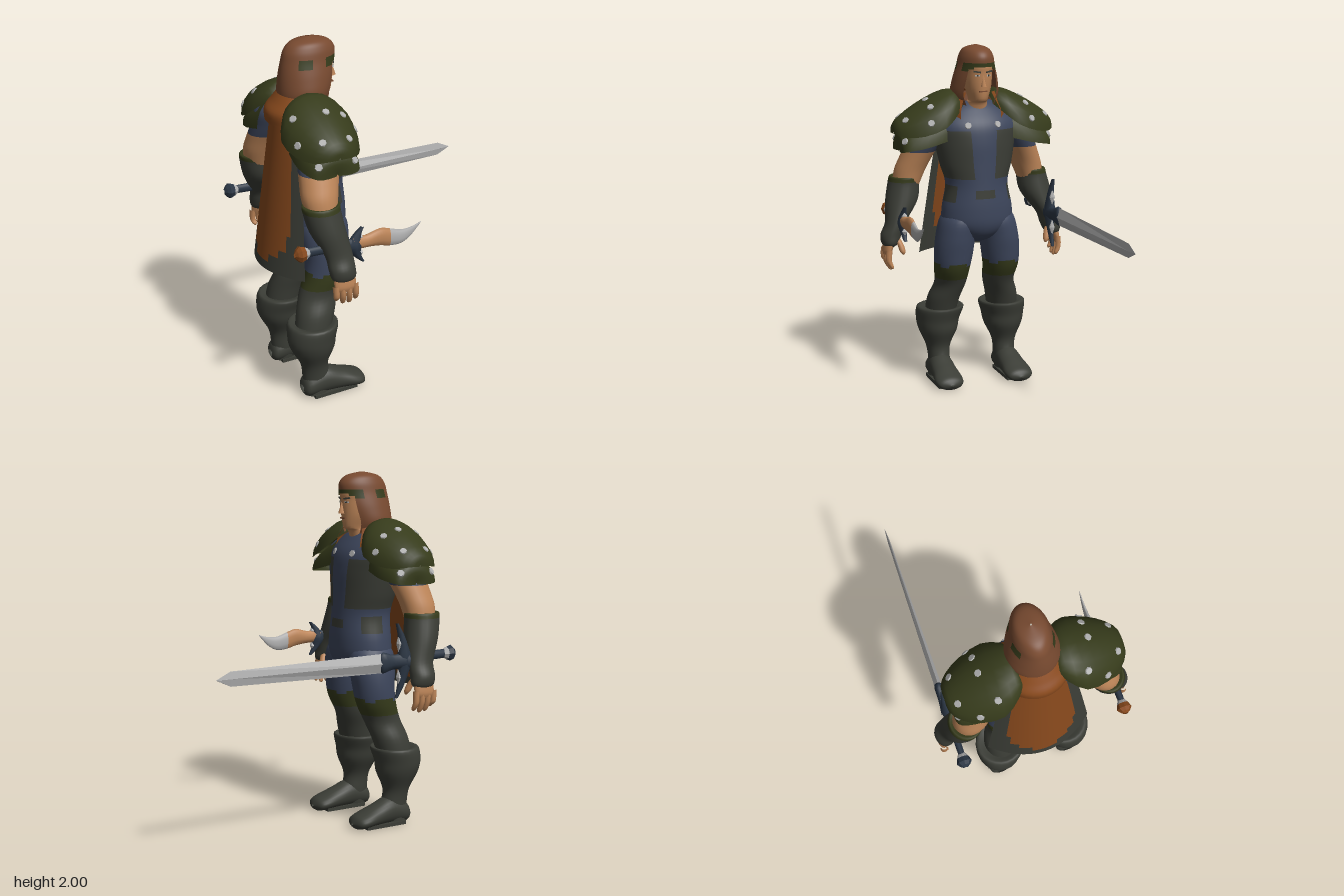
import * as THREE from 'three';

const mat = (name, color, side = THREE.FrontSide) => {
  const m = new THREE.MeshStandardMaterial({ color, side });
  m.name = name;
  return m;
};

export function createModel() {
  const D = THREE.DoubleSide;
  const hoodBrown = mat('hood brown', 0x784a30, D), capeBrown = mat('cape brown', 0x86481c, D);
  const skin = mat('skin', 0xbd8558), blue = mat('blue cloth', 0x3d465c);
  const green = mat('green leather', 0x363b1b, D), dark = mat('dark leather', 0x3b3d36, D);
  const silver = mat('silver', 0xb2b2b2), steel = mat('dark steel', 0x2b3644);
  const root = new THREE.Group();
  root.name = 'hoodedWarrior';

  // Surface from a grid of points; pick(u, v) chooses a material per face, or -1 for a hole
  function grid(name, nu, nv, point, mats, pick = () => 0, wrap = false, flat = false) {
    const cols = wrap ? nu : nu + 1, pos = [];
    for (let i = 0; i <= nv; i++) for (let j = 0; j < cols; j++) pos.push(...point(j / nu, i / nv));
    const faces = mats.map(() => []);
    for (let i = 0; i < nv; i++) for (let j = 0; j < nu; j++) {
      const k = pick((j + 0.5) / nu, (i + 0.5) / nv);
      if (k < 0) continue;
      const j2 = (j + 1) % cols, a = i * cols + j, b = i * cols + j2, c = a + cols, d = b + cols;
      faces[k].push(a, c, b, b, c, d);
    }
    let g = new THREE.BufferGeometry();
    g.setAttribute('position', new THREE.Float32BufferAttribute(pos, 3));
    g.setIndex(faces.flat());
    if (flat) g = g.toNonIndexed();
    g.computeVertexNormals();
    let start = 0;
    faces.forEach((f, k) => { if (f.length) g.addGroup(start, f.length, k); start += f.length; });
    const mesh = new THREE.Mesh(g, mats);
    mesh.name = name;
    root.add(mesh);
    return mesh;
  }

  // Smooth value between rows of numbers
  function sample(rows, v) {
    const t = v * (rows.length - 1), i = Math.min(Math.floor(t), rows.length - 2), f = t - i;
    const at = (n) => rows[Math.max(0, Math.min(rows.length - 1, n))];
    return rows[0].map((_, k) => {
      const p = at(i - 1)[k], q = at(i)[k], r = at(i + 1)[k], s = at(i + 2)[k];
      return q + 0.5 * f * (r - p + f * (2 * p - 5 * q + 4 * r - s + f * (3 * (q - r) + s - p)));
    });
  }

  // Elliptical rings, bottom to top: [y, cx, cz, rx, rz, tilt]; pick gets height and angle (0 = front)
  function loft(name, rows, mats, pick, { seg = 24, steps = 5, flat = false } = {}) {
    mats = [mats].flat();
    return grid(name, seg, (rows.length - 1) * steps, (u, v) => {
      const [y, cx, cz, rx, rz, tilt = 0] = sample(rows, v), a = u * Math.PI * 2;
      return [cx + Math.max(rx, 0.001) * Math.cos(a), y - tilt * Math.cos(a), cz + Math.max(rz, 0.001) * Math.sin(a)];
    }, mats, pick && ((u, v) => pick(sample(rows, v)[0], Math.PI * (u > 0.5 ? 2 - 2 * u : 2 * u))), true, flat);
  }

  // Same, running forward along x: [x, y, z, ry, rz]
  function loftX(name, rows, mats, pick, opt) {
    const m = loft(name, rows.map(([x, y, z, ry, rz]) => [x, -y, z, ry, rz]), mats, pick, opt);
    m.rotation.z = -Math.PI / 2;
    return m;
  }

  function add(name, geo, m, x, y, z) {
    const mesh = new THREE.Mesh(geo, m);
    mesh.name = name;
    mesh.position.set(x, y, z);
    root.add(mesh);
    return mesh;
  }
  function stud(p, normal) {
    const m = add('stud', new THREE.CylinderGeometry(0.018, 0.022, 0.009, 7), silver, p.x, p.y, p.z);
    m.quaternion.setFromUnitVectors(new THREE.Vector3(0, 1, 0), normal);
  }

  // Torso
  loft('torso', [[0.85, -0.42, 0, 0.03, 0.03], [0.89, -0.42, 0, 0.12, 0.12], [0.96, -0.415, 0, 0.16, 0.205],
    [1.06, -0.41, 0, 0.163, 0.21], [1.2, -0.415, 0, 0.16, 0.185], [1.32, -0.43, 0, 0.17, 0.215],
    [1.45, -0.445, 0, 0.18, 0.24], [1.55, -0.45, 0, 0.165, 0.25], [1.63, -0.46, 0, 0.12, 0.19],
    [1.68, -0.46, 0, 0.07, 0.09]], [blue, dark], (y, a) =>
    (y > 1.24 && y < 1.52 && a > 0.32 && a < 2.3) || (y > 1.13 && y < 1.17 && a < 0.35) ||
    (y > 1.1 && y < 1.19 && a > 0.9 && a < 1.7) ? 1 : 0, { seg: 40, steps: 6 });

  // Head and face
  loft('head', [[1.6, -0.43, 0, 0.075, 0.075], [1.67, -0.41, 0, 0.075, 0.06], [1.69, -0.385, 0, 0.083, 0.052],
    [1.76, -0.385, 0, 0.095, 0.073], [1.84, -0.385, 0, 0.1, 0.08], [1.9, -0.39, 0, 0.1, 0.078],
    [1.95, -0.4, 0, 0.02, 0.02]], skin);
  const nose = add('nose', new THREE.ConeGeometry(0.018, 0.065, 6), skin, -0.284, 1.802, 0);
  nose.scale.x = 1.2;
  add('mouth', new THREE.BoxGeometry(0.008, 0.007, 0.05), hoodBrown, -0.291, 1.742, 0);
  for (const s of [-1, 1]) {
    const brow = add('brow', new THREE.BoxGeometry(0.009, 0.009, 0.042), dark, -0.294, 1.853, s * 0.035);
    brow.rotation.set(-s * 0.15, -s * 0.35, 0);
    add('eye', new THREE.BoxGeometry(0.008, 0.01, 0.026), silver, -0.296, 1.832, s * 0.033).rotation.y = -s * 0.35;
    add('pupil', new THREE.BoxGeometry(0.009, 0.01, 0.01), dark, -0.294, 1.832, s * 0.032).rotation.y = -s * 0.35;
  }

  // Hood, open at the face, with a green band, and cowl round the neck
  loft('hood', [[1.66, -0.45, 0, 0.14, 0.115], [1.72, -0.45, 0, 0.142, 0.14], [1.8, -0.435, 0, 0.15, 0.128],
    [1.88, -0.423, 0, 0.148, 0.106], [1.94, -0.415, 0, 0.138, 0.092], [1.98, -0.415, 0, 0.095, 0.066],
    [2, -0.415, 0, 0.005, 0.005]], [hoodBrown, green], (y, a) =>
    y < 1.885 && a < (y > 1.865 ? 0.55 : 0.72) ? -1 : y > 1.85 && y < 1.905 && (a < 1.2 || a > 1.7 && a < 2.2) ? 1 : 0,
    { seg: 48, steps: 6 });
  loft('cowl', [[1.57, -0.47, 0, 0.19, 0.19], [1.63, -0.475, 0, 0.185, 0.185], [1.68, -0.47, 0, 0.15, 0.155],
    [1.73, -0.46, 0, 0.12, 0.12]], capeBrown, (y, a) => (a < 0.65 ? -1 : 0), { seg: 36 });

  // Cape with a dark hem
  grid('cape', 24, 20, (u, v) => {
    const s = u * 2 - 1, w = 0.15 + 0.145 * Math.pow(v, 0.8);
    return [-0.61 - 0.125 * v + (0.06 + 0.065 * v) * s * s, 1.67 - 0.91 * v, s * w];
  }, [capeBrown, dark], (u, v) => {
    const s = Math.abs(u * 2 - 1), d = Math.max(0, v - 0.7) / 0.24;
    return (s / 0.74) ** 2 + d * d < 1 ? 0 : 1;
  });

  // Arched shoulder plate point: stations [z, half width, top, base]
  const upper = [[0.09, 0.1, 1.7, 1.66], [0.13, 0.15, 1.745, 1.62], [0.22, 0.2, 1.725, 1.545], [0.34, 0.18, 1.665, 1.5],
    [0.43, 0.13, 1.605, 1.49], [0.475, 0.07, 1.56, 1.5], [0.478, 0.005, 1.51, 1.5]];
  const lower = [[0.2, 0.15, 1.64, 1.46], [0.32, 0.16, 1.58, 1.43], [0.43, 0.135, 1.52, 1.41],
    [0.455, 0.08, 1.47, 1.4], [0.445, 0.005, 1.41, 1.4]];
  const arch = (rows, s) => (u, v) => {
    const [z, w, top, base] = sample(rows, v), t = u * Math.PI;
    return [-0.485 + w * Math.cos(t), base + (top - base) * Math.sin(t), s * z];
  };

  for (const s of [-1, 1]) {
    // Shoulder armour and its studs
    for (const [name, rows, spots] of [
      ['upperShoulderPlate', upper, [[0.3, 0.43], [0.47, 0.43], [0.75, 0.36], [0.12, 0.45], [0.88, 0.5], [0.3, 0.66], [0.68, 0.66]]],
      ['lowerShoulderPlate', lower, [[0.2, 0.55], [0.8, 0.55]]]]) {
      const f = arch(rows, s), P = (u, v) => new THREE.Vector3(...f(u, v));
      grid(name, 12, 12, f, [green]);
      for (const [u, v] of spots) {
        const p = P(u, v), n = P(u + 0.01, v).sub(p).cross(P(u, v + 0.01).sub(p)).normalize();
        if (n.y < 0) n.negate();
        stud(p, n);
      }
    }
    stud(new THREE.Vector3(-0.296, 1.55, s * 0.09), new THREE.Vector3(0.92, 0.3, s * 0.25).normalize());

    // Arm: sleeve, bicep, bracer
    loft('upperArm', [[1.17, -0.55, s * 0.395, 0.08, 0.075], [1.27, -0.55, s * 0.367, 0.097, 0.09],
      [1.35, -0.535, s * 0.333, 0.105, 0.094], [1.45, -0.51, s * 0.285, 0.115, 0.1],
      [1.55, -0.49, s * 0.25, 0.12, 0.1], [1.64, -0.48, s * 0.22, 0.03, 0.03]], [skin, blue], (y) => (y > 1.39 ? 1 : 0));
    loft('bracer', [[0.835, -0.49, s * 0.515, 0.03, 0.015], [0.86, -0.49, s * 0.51, 0.066, 0.045],
      [0.91, -0.495, s * 0.5, 0.072, 0.06], [0.98, -0.5, s * 0.472, 0.075, 0.058], [1.1, -0.535, s * 0.422, 0.095, 0.094],
      [1.2, -0.555, s * 0.402, 0.1, 0.092], [1.24, -0.557, s * 0.395, 0.1, 0.088], [1.235, -0.555, s * 0.395, 0.07, 0.07]],
    [dark, green], (y) => (y > 1.215 ? 1 : 0));

    // Hand: palm, fingers and thumb
    loft('palm', [[0.79, -0.49, s * 0.53, 0.045, 0.014], [0.82, -0.49, s * 0.527, 0.062, 0.025],
      [0.88, -0.49, s * 0.51, 0.06, 0.035]], skin, undefined, { seg: 14 });
    for (let i = 0; i < 4; i++) {
      const x = -0.546 + i * 0.037, tip = [0.735, 0.712, 0.708, 0.72][i];
      loft('finger', [[tip, x + 0.008, s * 0.513, 0.004, 0.004], [tip + 0.012, x + 0.007, s * 0.517, 0.014, 0.013],
        [0.77, x + 0.002, s * 0.532, 0.017, 0.017], [0.83, x, s * 0.528, 0.018, 0.02]], skin, undefined, { seg: 8, steps: 3 });
    }
    loft('thumb', [[0.8, -0.425, s * 0.446, 0.005, 0.005], [0.82, -0.43, s * 0.45, 0.018, 0.017],
      [0.86, -0.445, s * 0.46, 0.02, 0.018], [0.9, -0.465, s * 0.48, 0.02, 0.02]], skin, undefined, { seg: 10, steps: 3 });

    // Leg
    loft('leg', [[0.38, -0.53, s * 0.2, 0.1, 0.09], [0.5, -0.5, s * 0.183, 0.108, 0.095], [0.6, -0.465, s * 0.152, 0.11, 0.092],
      [0.7, -0.425, s * 0.152, 0.117, 0.105], [0.8, -0.41, s * 0.145, 0.122, 0.115], [0.9, -0.41, s * 0.133, 0.135, 0.115],
      [1, -0.41, s * 0.11, 0.13, 0.11], [1.07, -0.41, s * 0.1, 0.06, 0.06]],
    [blue, green, dark], (y, a) => (y > 0.73 + 0.02 * Math.cos(a * 4) ? 0 : y > 0.63 ? 1 : 2));

    // Boot shaft and foot
    loft('bootShaft', [[0.01, -0.52, s * 0.215, 0.07, 0.06], [0.1, -0.515, s * 0.208, 0.08, 0.063],
      [0.2, -0.528, s * 0.21, 0.078, 0.072, 0.005], [0.3, -0.535, s * 0.208, 0.122, 0.115, 0.01],
      [0.37, -0.538, s * 0.207, 0.135, 0.13, 0.02], [0.445, -0.523, s * 0.195, 0.138, 0.14, 0.027],
      [0.44, -0.52, s * 0.193, 0.1, 0.09, 0.02]], dark);
    loftX('foot', [[-0.605, 0.05, s * 0.213, 0.02, 0.03], [-0.58, 0.062, s * 0.213, 0.06, 0.062],
      [-0.48, 0.082, s * 0.213, 0.08, 0.07], [-0.38, 0.064, s * 0.215, 0.062, 0.076],
      [-0.3, 0.047, s * 0.218, 0.046, 0.084], [-0.25, 0.036, s * 0.218, 0.034, 0.068],
      [-0.228, 0.032, s * 0.218, 0.005, 0.01]], dark);
    add('sole', new THREE.BoxGeometry(0.26, 0.02, 0.13), dark, -0.425, 0.01, s * 0.215);
  }

  // Grip, pommel and cross guard shared by both weapons
  function hilt(z, y, pommelMat, half) {
    loftX('grip', [[-0.67, y, z, 0.025, 0.018], [-0.4, y - 0.01, z, 0.028, 0.02]], steel, undefined, { seg: 10, steps: 1 });
    loftX('pommel', [[-0.74, y, z, 0.012, 0.01], [-0.71, y, z, 0.045, 0.042], [-0.66, y, z, 0.022, 0.02]],
      [pommelMat, silver], (x) => (x > -0.68 ? 1 : 0), { seg: 8, steps: 2, flat: true });
    const rows = [-1, -0.7, -0.35, 0, 0.35, 0.7, 1].map((t) => [0.995 + t * half, -0.4 + 0.05 * t * t, z,
      0.045 - 0.037 * Math.abs(t), 0.032 - 0.022 * Math.abs(t)]);
    loft('crossGuard', rows, steel, undefined, { seg: 8, steps: 2 });
    for (const t of [-0.45, 0.45])
      loft('guardInlay', [-1, 0, 1].map((k) => [0.995 + half * (t + 0.22 * k), -0.363, z, k ? 0.004 : 0.012, k ? 0.002 : 0.018]),
        silver, undefined, { seg: 6, steps: 1, flat: true });
  }

  // Long sword
  hilt(-0.46, 1.01, steel, 0.205);
  loftX('swordCollar', [[-0.42, 0.99, -0.46, 0.05, 0.035], [-0.33, 0.99, -0.46, 0.04, 0.025], [-0.26, 0.99, -0.46, 0.058, 0.024],
    [-0.24, 0.99, -0.46, 0.03, 0.016]], steel, undefined, { seg: 10, steps: 3 });
  loftX('swordBlade', [[-0.27, 0.988, -0.46, 0.053, 0.02], [0.66, 0.99, -0.46, 0.039, 0.007], [0.74, 0.99, -0.46, 0.001, 0.001]],
    silver, undefined, { seg: 4, steps: 1, flat: true });

  // Curved dagger
  hilt(0.455, 1.02, capeBrown, 0.1);
  loftX('daggerBlade', [[-0.41, 1.01, 0.455, 0.04, 0.024], [-0.33, 1.005, 0.455, 0.036, 0.024], [-0.25, 1.01, 0.455, 0.05, 0.021],
    [-0.19, 0.995, 0.455, 0.05, 0.017], [-0.12, 0.983, 0.455, 0.04, 0.012], [-0.06, 1, 0.455, 0.025, 0.007],
    [0, 1.04, 0.455, 0.002, 0.002]], [skin, silver], (x) => (x > -0.19 ? 1 : 0), { seg: 10, steps: 4 });

  return root;
}
